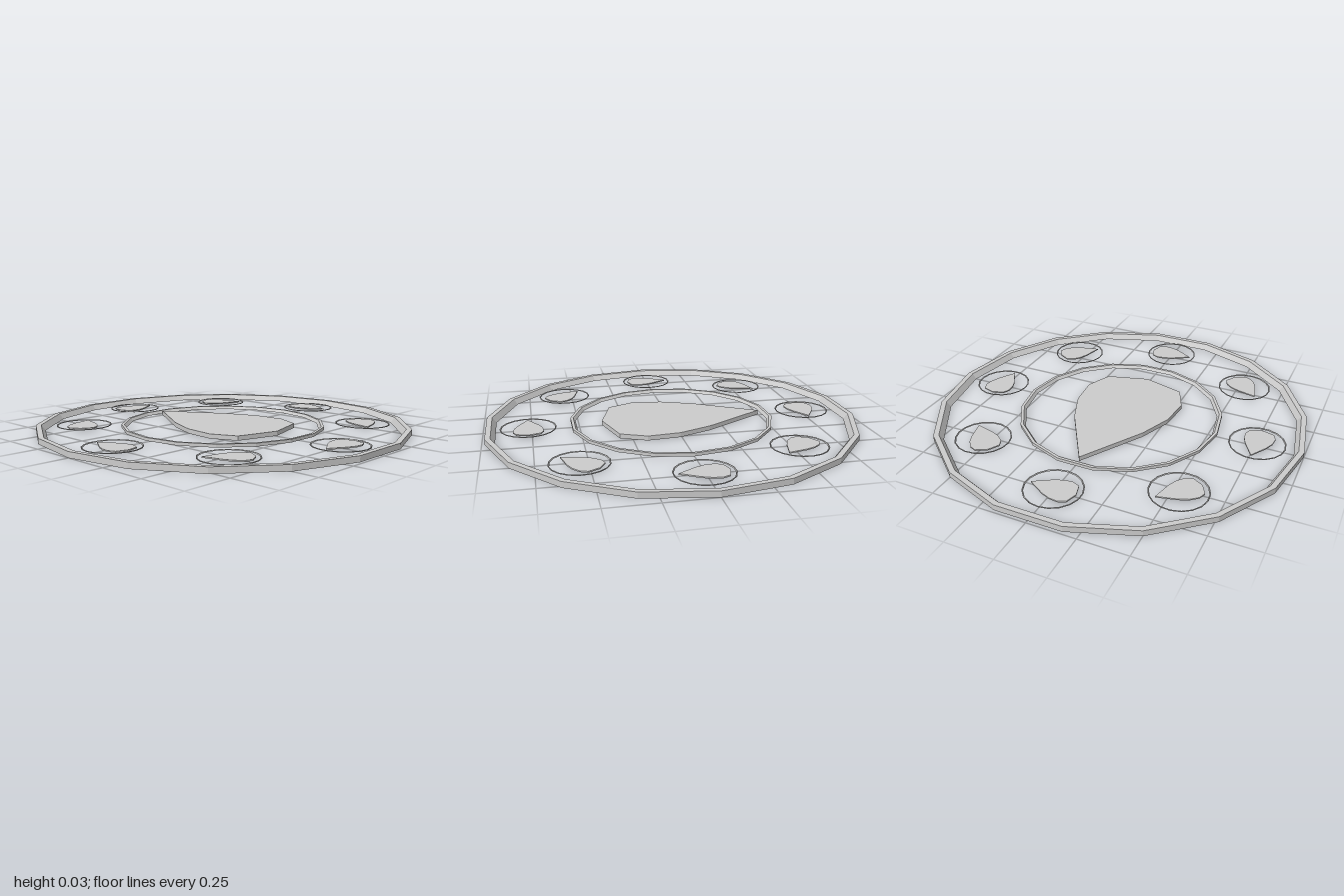
import * as THREE from 'three';

const SIDES = 18;
const MID_Y = 0.015;
const material = new THREE.MeshStandardMaterial({ color: 0xcccccc, flatShading: true });

// Ring with an upright outer wall, flat top and bevelled inner wall
function ringGeometry() {
  const h = 0.015;
  const section = [[0.95, -h], [1, -h], [1, h], [0.972, h], [0.95, -h]];
  const points = section.map(([r, y]) => new THREE.Vector2(r, y));
  return new THREE.LatheGeometry(points, SIDES, Math.PI / 2);
}

// Flat teardrop plate, tip towards -z, centred on its length
function dropGeometry() {
  const half = [[0.2, 0.165], [0.27, -0.01], [0.285, -0.18], [0.225, -0.315]];
  const outline = [[0, 0.495], ...half, [0, -0.38], ...half.map(([x, y]) => [-x, y]).reverse()];
  const shape = new THREE.Shape(outline.map(([x, y]) => new THREE.Vector2(x, y - 0.057)));
  const geometry = new THREE.ExtrudeGeometry(shape, { depth: 0.024, bevelEnabled: false });
  geometry.translate(0, 0, -0.012);
  geometry.rotateX(-Math.PI / 2);
  return geometry;
}

export function createModel() {
  const model = new THREE.Group();
  model.name = 'medallion';
  const ring = ringGeometry();
  const drop = dropGeometry();

  const add = (parent, geometry, name, scale, y = 0, z = 0) => {
    const mesh = new THREE.Mesh(geometry, material);
    mesh.name = name;
    mesh.scale.setScalar(scale);
    mesh.position.set(0, y, z);
    parent.add(mesh);
    return mesh;
  };

  // Outer and inner frames with the large central drop
  add(model, ring, 'outerRing', 1, MID_Y);
  add(model, ring, 'innerRing', 0.55, MID_Y);
  add(model, drop, 'centreDrop', 1, MID_Y, -0.057);

  // Eight small ringed drops, each tip pointing along the circle
  for (let i = 0; i < 8; i++) {
    const a = (i * Math.PI) / 4;
    const satellite = new THREE.Group();
    satellite.name = `satellite${i + 1}`;
    satellite.position.set(0.76 * Math.cos(a), MID_Y, 0.76 * Math.sin(a) + 0.008);
    satellite.rotation.y = Math.PI - a;
    add(satellite, ring, 'smallRing', 0.147);
    add(satellite, drop, 'smallDrop', 0.275);
    model.add(satellite);
  }
  return model;
}
